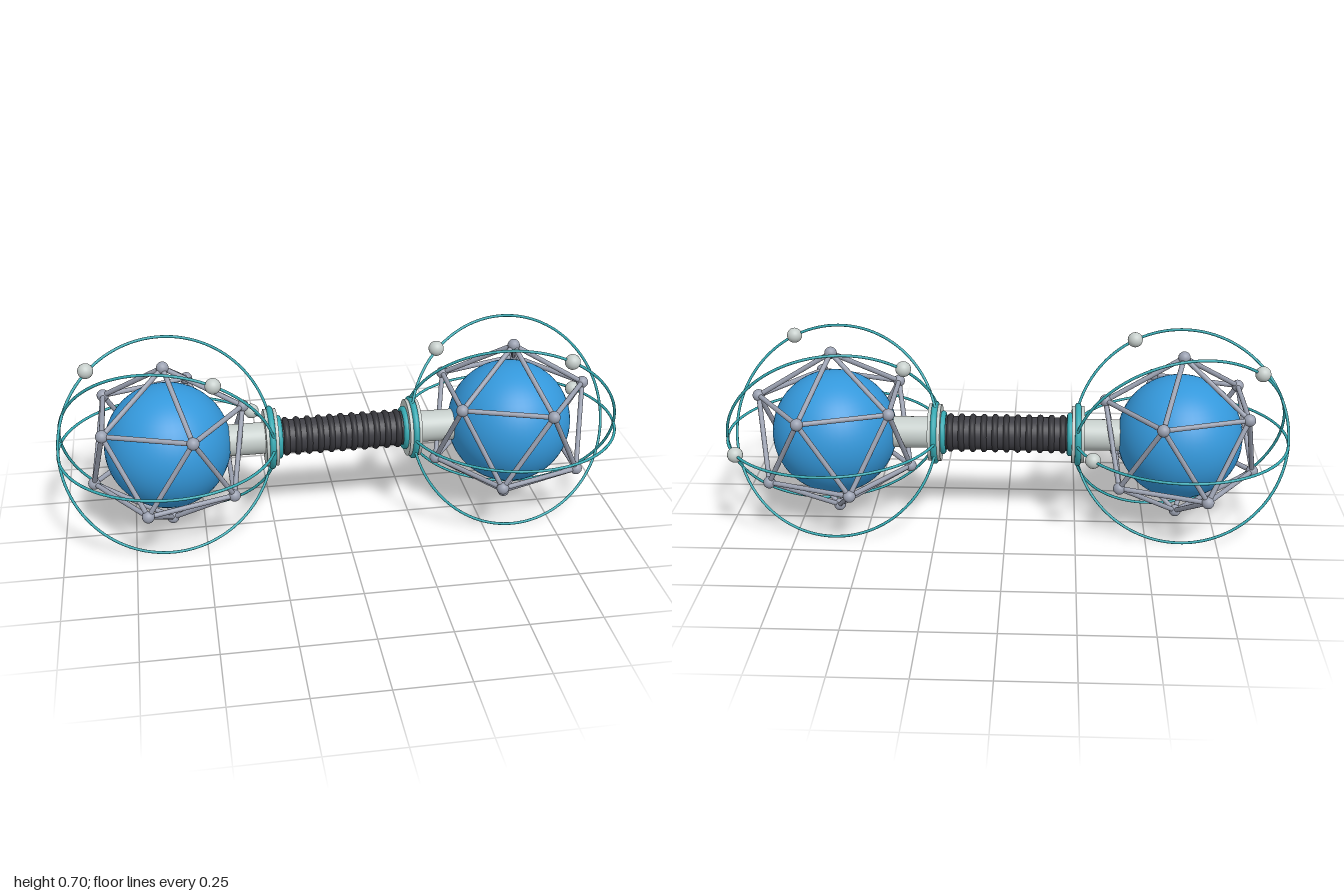
import * as THREE from 'three';

const mat = (name, color) => Object.assign(new THREE.MeshStandardMaterial({ color }), { name });
const MID = 0.352; // height of the main axis

export function createModel() {
  const blue = mat('coreBlue', 0x3498db);
  const teal = mat('ringTeal', 0x35a9b2);
  const steel = mat('frameSteel', 0x9aa0b0);
  const pale = mat('paleMetal', 0xc6cecb);
  const grip = mat('gripDark', 0x3f3f45);
  const rib = mat('ribDark', 0x36363b);

  const model = new THREE.Group();
  const add = (parent, name, geometry, material, x = 0, y = 0, z = 0) => {
    const m = new THREE.Mesh(geometry, material);
    m.name = name;
    m.position.set(x, y, z);
    parent.add(m);
    return m;
  };
  const Y = new THREE.Vector3(0, 1, 0);
  const Z = new THREE.Vector3(0, 0, 1);

  // Geometry lying along the x axis
  const rod = (r, len) => new THREE.CylinderGeometry(r, r, len, 40).rotateZ(Math.PI / 2);
  const hoop = (r, tube) => new THREE.TorusGeometry(r, tube, 12, 48).rotateY(Math.PI / 2);

  // Icosahedron corners: two poles and two staggered rings of five
  const R = 0.298;
  const corners = [new THREE.Vector3(0, R, 0), new THREE.Vector3(0, -R, 0)];
  for (let i = 0; i < 10; i++) {
    const a = i * Math.PI / 5;
    const h = (i % 2 ? -1 : 1) * R / Math.sqrt(5);
    const r = 2 * R / Math.sqrt(5);
    corners.push(new THREE.Vector3(r * Math.cos(a), h, r * Math.sin(a)));
  }
  const edge = R * 1.0515;

  // Orbit rings: plane normal and position of the bead on each
  const orbits = [
    { normal: [0, 1, 0], bead: [0.312, 0, -0.215] },
    { normal: [0.179, 0.414, -0.893], bead: [0.16, 0.299, 0.171] },
    { normal: [0.179, 0.414, 0.893], bead: [-0.262, 0.27, -0.074] },
  ];

  const coreGeo = new THREE.SphereGeometry(0.221, 48, 32);
  const nodeGeo = new THREE.SphereGeometry(0.0215, 20, 14);
  const strutGeo = new THREE.CylinderGeometry(0.0088, 0.0088, edge, 12);
  const beadGeo = new THREE.SphereGeometry(0.027, 24, 16);
  const orbitGeo = new THREE.TorusGeometry(0.379, 0.005, 10, 120);

  // Weights: both ends are identical and face the same way
  for (const x of [-0.615, 0.615]) {
    const weight = new THREE.Group();
    weight.name = x > 0 ? 'leftWeight' : 'rightWeight';
    weight.position.set(x, MID, 0);
    model.add(weight);

    add(weight, 'core', coreGeo, blue);
    corners.forEach((a, i) => {
      add(weight, 'frameNode', nodeGeo, steel, a.x, a.y, a.z);
      corners.slice(i + 1).forEach((b) => {
        if (a.distanceTo(b) > edge * 1.1) return;
        const s = add(weight, 'frameStrut', strutGeo, steel);
        s.position.copy(a).add(b).multiplyScalar(0.5);
        s.quaternion.setFromUnitVectors(Y, b.clone().sub(a).normalize());
      });
    });
    for (const { normal, bead } of orbits) {
      const ring = add(weight, 'orbitRing', orbitGeo, teal);
      ring.quaternion.setFromUnitVectors(Z, new THREE.Vector3(...normal).normalize());
      add(weight, 'orbitBead', beadGeo, pale, ...bead);
    }
  }

  // Handle: ribbed grip between two collars
  const handle = new THREE.Group();
  handle.name = 'handle';
  handle.position.y = MID;
  model.add(handle);
  add(handle, 'grip', rod(0.06, 0.46), grip);
  const ribGeo = hoop(0.058, 0.011);
  for (let i = 0; i < 11; i++) add(handle, 'gripRib', ribGeo, rib, -0.2 + i * 0.04);

  for (const s of [-1, 1]) {
    add(handle, 'neck', rod(0.056, 0.19), pale, s * 0.335);
    add(handle, 'flange', rod(0.102, 0.044), pale, s * 0.254);
    add(handle, 'flangeRim', hoop(0.102, 0.011), teal, s * 0.254);
    add(handle, 'gripCollar', hoop(0.067, 0.011), teal, s * 0.226);
  }
  return model;
}
